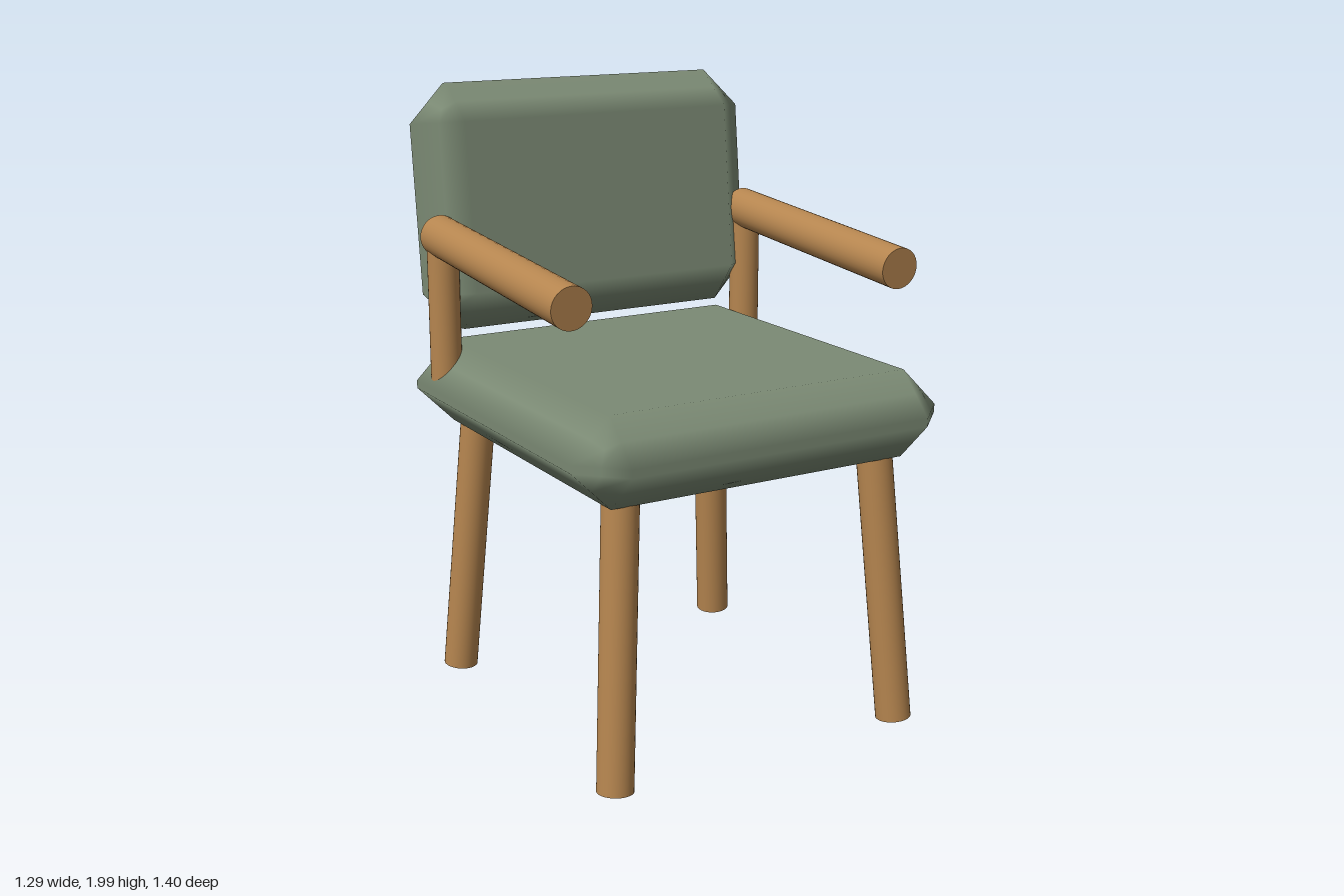
import * as THREE from 'three';

const fabric = new THREE.MeshStandardMaterial({ color: 0x7b8a74 });
const wood = new THREE.MeshStandardMaterial({ color: 0xb5854f });

// Box with 45 degree chamfers on every edge, shaded softly across the chamfers
function cushionGeometry(w, h, d, c) {
  const geo = new THREE.BoxGeometry(1, 1, 1, 3, 3, 3);
  const pos = geo.attributes.position;
  const inner = new THREE.Vector3(w / 2 - c, h / 2 - c, d / 2 - c);
  const v = new THREE.Vector3();
  const n = new THREE.Vector3();
  const outer = (a) => (Math.abs(a) > 0.4 ? Math.sign(a) : 0);
  for (let i = 0; i < pos.count; i++) {
    v.fromBufferAttribute(pos, i);
    n.set(outer(v.x), outer(v.y), outer(v.z));
    const reach = c / n.manhattanLength();
    pos.setXYZ(
      i,
      Math.sign(v.x) * inner.x + n.x * reach,
      Math.sign(v.y) * inner.y + n.y * reach,
      Math.sign(v.z) * inner.z + n.z * reach
    );
    n.normalize();
    geo.attributes.normal.setXYZ(i, n.x, n.y, n.z);
  }
  return geo;
}

// Round wooden bar between two points
function bar(name, from, to, radius) {
  const a = new THREE.Vector3(...from);
  const b = new THREE.Vector3(...to);
  const dir = b.clone().sub(a);
  const mesh = new THREE.Mesh(new THREE.CylinderGeometry(radius, radius, dir.length(), 32), wood);
  mesh.name = name;
  mesh.position.copy(a).add(b).multiplyScalar(0.5);
  mesh.quaternion.setFromUnitVectors(new THREE.Vector3(0, 1, 0), dir.normalize());
  return mesh;
}

export function createModel() {
  const chair = new THREE.Group();
  chair.name = 'armchair';

  // Seat cushion
  const seat = new THREE.Mesh(cushionGeometry(1.286, 0.28, 1.345, 0.127), fabric);
  seat.name = 'seat';
  seat.position.set(0, 1.025, 0.033);
  chair.add(seat);

  // Backrest cushion, leaning back
  const back = new THREE.Mesh(cushionGeometry(1.22, 0.8, 0.28, 0.125), fabric);
  back.name = 'backrest';
  back.position.set(0, 1.597, -0.53);
  back.rotation.x = -0.107;
  chair.add(back);

  for (const [side, s] of [['left', 1], ['right', -1]]) {
    // Splayed legs
    chair.add(bar(side + 'FrontLeg', [s * 0.515, 0.008, 0.589], [s * 0.447, 1.0, 0.515], 0.057));
    chair.add(bar(side + 'BackLeg', [s * 0.515, 0.008, -0.52], [s * 0.447, 1.0, -0.446], 0.057));
    // Arm post and sloping armrest
    chair.add(bar(side + 'ArmPost', [s * 0.575, 1.0, -0.422], [s * 0.575, 1.505, -0.422], 0.051));
    chair.add(bar(side + 'Armrest', [s * 0.575, 1.525, -0.445], [s * 0.575, 1.456, 0.467], 0.066));
  }
  return chair;
}
